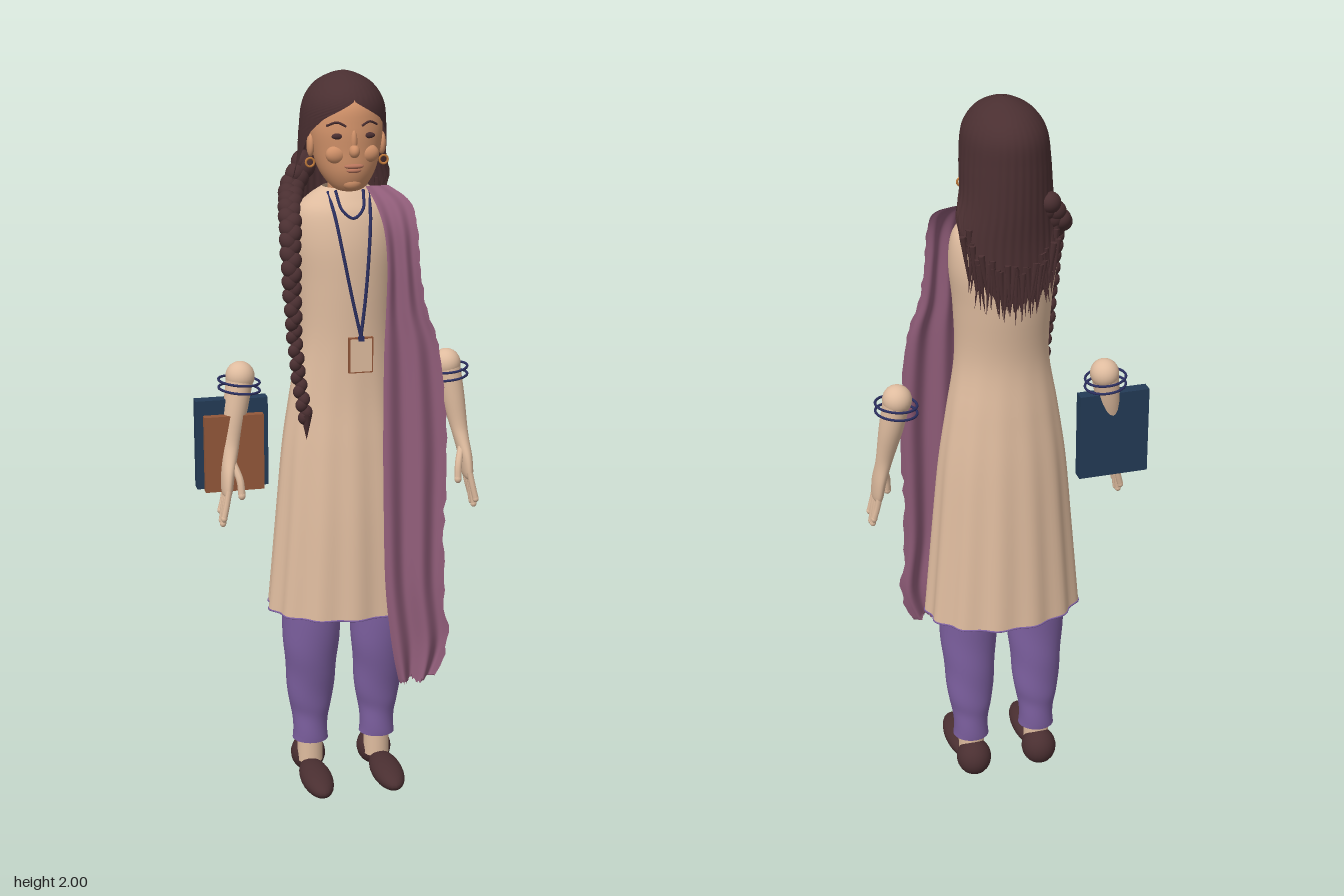
import * as THREE from 'three';

const mat = (name, color, side = THREE.FrontSide) => {
  const m = new THREE.MeshStandardMaterial({ color, side });
  m.name = name;
  return m;
};
const CX = 0.025; // the figure's own centre line

export function createModel() {
  const root = new THREE.Group();
  root.name = 'woman';
  const hair = mat('dark brown hair', 0x4a2f31, THREE.DoubleSide);
  const beige = mat('beige', 0xdfbc9f, THREE.DoubleSide);
  const skin = mat('face skin', 0xcf9068);
  const purple = mat('purple', 0x7d60a0, THREE.DoubleSide);
  const mauve = mat('mauve scarf', 0x8f5c78, THREE.DoubleSide);
  const indigo = mat('indigo trim', 0x2b2f60);
  const navy = mat('navy cover', 0x233b56);
  const brown = mat('brown cover', 0x93583a);
  const lip = mat('lips', 0xb8755c);
  const gold = mat('gold', 0xc07a3c);

  let seed = 7;
  const rnd = () => (seed = (seed * 16807) % 2147483647) / 2147483647;

  const add = (name, geo, m, parent = root) => {
    const mesh = new THREE.Mesh(geo, m);
    mesh.name = name;
    parent.add(mesh);
    return mesh;
  };
  const ball = (name, m, p, s, parent) => {
    const b = add(name, new THREE.SphereGeometry(1, 24, 16), m, parent);
    b.position.set(...p);
    b.scale.set(...s);
    return b;
  };
  const tube = (name, m, pts, r, n = 24, closed = false, parent = root) => add(name, new THREE.TubeGeometry(
    new THREE.CatmullRomCurve3(pts.map(p => new THREE.Vector3(...p)), closed), n, r, 8, closed), m, parent);
  const box = (name, m, p, s) => add(name, new THREE.BoxGeometry(...s), m).position.set(...p);

  // Smooth interpolation through a list of rows
  const sample = (rows, t) => {
    const f = t * (rows.length - 1), i = Math.min(Math.floor(f), rows.length - 2), k = f - i;
    const at = j => rows[Math.max(0, Math.min(rows.length - 1, j))];
    return rows[i].map((b, c) => {
      const a = at(i - 1)[c], d = at(i + 1)[c], e = at(i + 2)[c];
      return b + 0.5 * k * (d - a + k * (2 * a - 5 * b + 4 * d - e + k * (3 * (b - d) + e - a)));
    });
  };
  // Surface from a rule f(u, v) -> [x, y, z]
  const surface = (f, nu, nv, closed) => {
    const pos = [], idx = [], w = closed ? nu : nu + 1;
    for (let j = 0; j <= nv; j++) for (let i = 0; i < w; i++) pos.push(...f(i / nu, j / nv, i));
    for (let j = 0; j < nv; j++) for (let i = 0; i < nu; i++) {
      const a = j * w + i, b = j * w + (i + 1) % w;
      idx.push(a, b, b + w, a, b + w, a + w);
    }
    const g = new THREE.BufferGeometry();
    g.setAttribute('position', new THREE.Float32BufferAttribute(pos, 3));
    g.setIndex(idx);
    g.computeVertexNormals();
    return g;
  };
  // Loft of ellipses, rows bottom to top: [y, cx, cz, rx, rz]
  const ring = (rows, v, a, k = 1) => {
    const [y, cx, cz, rx, rz] = sample(rows, v);
    return [cx + Math.sin(a) * rx * k, y, cz + Math.cos(a) * rz * k];
  };
  const loft = (rows, nu = 24, nv = 24, ripple = () => 1) => surface((u, v) => {
    const a = u * Math.PI * 2;
    return ring(rows, v, a, ripple(a, v));
  }, nu, nv, true);

  // Long tunic with pleats that deepen toward the hem
  const tunicRows = [
    [0.535, CX, -0.035, 0.213, 0.152], [0.8, CX, -0.035, 0.19, 0.142], [1.0, CX, -0.037, 0.172, 0.128],
    [1.15, CX, -0.037, 0.15, 0.113], [1.3, CX, -0.033, 0.126, 0.103], [1.45, CX, -0.04, 0.13, 0.112],
    [1.56, CX, -0.045, 0.141, 0.115], [1.64, CX, -0.043, 0.132, 0.098], [1.68, CX, -0.038, 0.098, 0.07],
    [1.705, CX, -0.035, 0.06, 0.048]];
  const pleat = (a, v) => 1 + 0.03 * Math.max(0, 1 - v * 2.2) * Math.cos(a * 13);
  add('tunic', loft(tunicRows, 96, 48, pleat), beige);
  tube('hemTrim', purple, Array.from({ length: 78 }, (_, i) => {
    const a = i / 78 * Math.PI * 2;
    return ring(tunicRows, 0, a, pleat(a, 0));
  }), 0.0025, 156, true);
  tube('neckline', indigo, [[-0.012, 1.70, 0.015], [-0.002, 1.655, 0.052], [CX, 1.635, 0.062],
    [0.052, 1.655, 0.052], [0.062, 1.70, 0.015]], 0.004);

  // Legs, ankles and shoes
  for (const s of [1, -1]) {
    const x = CX + s * 0.097, leg = new THREE.Group();
    leg.name = s > 0 ? 'leftLeg' : 'rightLeg';
    root.add(leg);
    add('trouserLeg', loft([[0.12, x, -0.047, 0.05, 0.047], [0.19, x, -0.047, 0.05, 0.05],
      [0.25, x, -0.045, 0.063, 0.056], [0.34, x, -0.038, 0.07, 0.066], [0.44, x, -0.03, 0.079, 0.076],
      [0.56, x, -0.03, 0.082, 0.082], [0.75, x, -0.03, 0.085, 0.085]], 32, 40,
    (a, v) => 1 + 0.025 * Math.sin(v * 26 + a * 2) * (1 - v)), purple, leg);
    add('ankle', new THREE.CylinderGeometry(0.036, 0.036, 0.1, 20), beige, leg).position.set(x, 0.1, -0.05);
    ball('shoeHeel', hair, [x, 0.056, -0.078], [0.049, 0.053, 0.052], leg);
    ball('shoeToe', hair, [x + s * 0.005, 0.04, 0.055], [0.044, 0.033, 0.11], leg);
  }

  // Forearms, hands and bangles
  for (const s of [1, -1]) {
    const X = d => CX + s * d, arm = new THREE.Group();
    arm.name = s > 0 ? 'leftArm' : 'rightArm';
    root.add(arm);
    ball('elbow', beige, [X(0.285), 1.203, -0.04], [0.039, 0.04, 0.041], arm);
    add('forearm', loft([[0.885, X(0.336), 0.014, 0.005, 0.02], [0.9, X(0.335), 0.012, 0.014, 0.036],
      [0.95, X(0.33), 0.004, 0.018, 0.038], [1.0, X(0.321), -0.008, 0.021, 0.029],
      [1.04, X(0.314), -0.017, 0.025, 0.027], [1.12, X(0.3), -0.03, 0.033, 0.036],
      [1.205, X(0.285), -0.04, 0.037, 0.039]]), beige, arm);
    for (let i = 0; i < 4; i++) {
      const z = -0.016 + i * 0.019, tip = [0.84, 0.818, 0.815, 0.835][i];
      tube('finger', beige, [[X(0.334), 0.91, z], [X(0.342), 0.87, z + 0.004], [X(0.35), tip, z + 0.007]], 0.0085, 10, false, arm);
      ball('fingertip', beige, [X(0.35), tip, z + 0.007], [0.0085, 0.01, 0.0085], arm);
    }
    tube('thumb', beige, [[X(0.318), 0.98, 0.01], [X(0.303), 0.935, 0.035], [X(0.3), 0.895, 0.043]], 0.01, 10, false, arm);
    ball('thumbTip', beige, [X(0.3), 0.895, 0.043], [0.01, 0.012, 0.01], arm);
    for (const y of [1.168, 1.19]) {
      const b = add('bangle', new THREE.TorusGeometry(0.055, 0.0035, 8, 40), indigo, arm);
      b.position.set(X(0.288), y, -0.04);
      b.rotation.set(Math.PI / 2, s * 0.1, 0);
    }
  }

  // Books held in the right hand
  box('navyBook', navy, [-0.287, 1.022, -0.038], [0.195, 0.246, 0.034]);
  box('brownBook', brown, [-0.285, 1.0, -0.01], [0.16, 0.21, 0.022]);

  // Neck, head and face
  add('neck', new THREE.CylinderGeometry(0.042, 0.048, 0.12, 24), skin).position.set(CX, 1.72, -0.035);
  add('head', loft([[1.698, CX, 0.01, 0.004, 0.006], [1.707, CX, 0.005, 0.04, 0.042], [1.75, CX, -0.015, 0.073, 0.082],
    [1.81, CX, -0.025, 0.09, 0.093], [1.87, CX, -0.03, 0.096, 0.096], [1.93, CX, -0.04, 0.08, 0.088],
    [1.97, CX, -0.05, 0.02, 0.02]], 40, 30), skin);
  ball('nose', skin, [CX, 1.81, 0.07], [0.014, 0.017, 0.018]);
  ball('noseBridge', skin, [CX, 1.835, 0.063], [0.009, 0.03, 0.012]);
  ball('upperLip', lip, [CX, 1.771, 0.065], [0.026, 0.007, 0.01]);
  ball('lowerLip', lip, [CX, 1.76, 0.063], [0.02, 0.007, 0.01]);
  ball('chin', skin, [CX, 1.725, 0.042], [0.027, 0.02, 0.02]);
  for (const s of [1, -1]) {
    const X = d => CX + s * d;
    ball('eye', hair, [X(0.04), 1.848, 0.057], [0.017, 0.008, 0.007]);
    tube('eyebrow', hair, [[X(0.02), 1.873, 0.064], [X(0.042), 1.883, 0.057], [X(0.066), 1.873, 0.04]], 0.003, 12);
    ball('cheek', skin, [X(0.042), 1.8, 0.046], [0.028, 0.024, 0.02]);
    ball('ear', skin, [X(0.095), 1.815, -0.02], [0.01, 0.03, 0.018]);
    add('earring', new THREE.TorusGeometry(0.011, 0.003, 8, 20), gold).position.set(X(0.098), 1.772, -0.012);
  }

  // Loose hair: a shell open at the face, longer and ragged at the back
  const hairRows = [[1.47, 0.03, -0.145, 0.11, 0.055], [1.55, 0.033, -0.125, 0.13, 0.078], [1.65, 0.033, -0.102, 0.13, 0.1],
    [1.75, 0.029, -0.09, 0.118, 0.115], [1.85, 0.027, -0.072, 0.113, 0.132], [1.92, 0.027, -0.065, 0.104, 0.132],
    [1.965, 0.027, -0.062, 0.076, 0.1], [1.99, 0.027, -0.06, 0.036, 0.048], [2.0, 0.027, -0.06, 0.001, 0.001]];
  const opening = [[1.47, 1.95], [1.6, 1.7], [1.7, 1.5], [1.8, 1.3], [1.85, 1.08], [1.89, 0.72], [1.935, 0.0], [2.01, 0.0]];
  const gap = y => {
    const i = Math.max(1, opening.findIndex(o => o[0] > y)), [y0, a0] = opening[i - 1], [y1, a1] = opening[i];
    return THREE.MathUtils.lerp(a0, a1, THREE.MathUtils.clamp((y - y0) / (y1 - y0), 0, 1));
  };
  const jag = Array.from({ length: 121 }, rnd);
  add('hair', surface((u, v, i) => {
    const g = gap(sample(hairRows, v)[0]), a = g + u * (Math.PI * 2 - 2 * g);
    const p = ring(hairRows, v, a, 1 + 0.01 * Math.sin(a * 36) * (1 - v));
    const low = Math.max(0, 1.8 - p[1]) / 0.33, side = Math.abs(u - 0.5) * 2;
    p[1] += low * (0.15 * side * side + 0.05 * jag[i] * low);
    return p;
  }, 120, 64, false), hair);
  for (let i = 0; i < 36; i++) {
    const a = Math.PI + (i / 35 - 0.5) * 2.6, side = Math.abs(i / 35 - 0.5) * 2;
    const [x, , z] = ring(hairRows, 0.08, a, 0.93 + 0.07 * rnd());
    const strand = add('hairStrand', new THREE.ConeGeometry(0.009, 0.14, 6), hair);
    strand.position.set(x, 1.51 + 0.1 * side * side + 0.03 * rnd(), z);
    strand.rotation.set(Math.PI, 0, (rnd() - 0.5) * 0.3);
  }

  // Plait over the right shoulder
  const plait = new THREE.CatmullRomCurve3([[-0.055, 1.75, -0.16], [-0.095, 1.69, -0.13], [-0.118, 1.655, -0.05],
    [-0.135, 1.59, 0.03], [-0.14, 1.45, 0.072], [-0.135, 1.3, 0.085], [-0.122, 1.17, 0.1], [-0.113, 1.12, 0.108]]
    .map(p => new THREE.Vector3(...p)));
  const up = new THREE.Vector3(0, 1, 0), n = 42;
  for (let i = 0; i <= n; i++) {
    const p = plait.getPointAt(i / n), r = 0.028 - 0.012 * Math.min(1, i / n * 1.3), s = i % 2 ? 1 : -1;
    const b = ball('plaitKnot', hair, [p.x + s * r * 0.3, p.y, p.z + 0.004 * Math.sin(i)], [r, r * 1.2, r]);
    b.quaternion.setFromUnitVectors(up, plait.getTangentAt(i / n));
    b.rotateZ(s * 0.5);
  }
  const tuft = add('plaitEnd', new THREE.ConeGeometry(0.015, 0.07, 10), hair);
  tuft.position.set(-0.112, 1.095, 0.109);
  tuft.rotation.x = Math.PI;

  // Scarf hanging from the left shoulder, rows bottom to top: [y, left edge, right edge, z]
  const scarfRows = [[0.37, 0.125, 0.215, 0.19], [0.48, 0.105, 0.255, 0.183], [0.65, 0.088, 0.245, 0.172],
    [0.85, 0.085, 0.25, 0.158], [1.05, 0.085, 0.255, 0.145], [1.28, 0.09, 0.24, 0.128], [1.4, 0.098, 0.205, 0.115],
    [1.52, 0.103, 0.19, 0.105], [1.61, 0.098, 0.187, 0.088], [1.67, 0.085, 0.178, 0.05], [1.705, 0.072, 0.135, -0.005]];
  add('scarf', surface((u, v) => {
    const [y, x0, x1, z] = sample(scarfRows, v), edge = u > 0.99 ? 0.014 * rnd() * (1 - v) : 0;
    return [x0 + (x1 - x0) * u + edge, y + (v === 0 ? 0.02 * rnd() : 0),
      z + 0.017 * (1 - v * 0.8) * Math.sin(u * 12 + v * 1.5)];
  }, 40, 70, false), mauve);

  // Lanyard and badge
  for (const s of [1, -1]) {
    tube('lanyard', indigo, [[CX + s * 0.054, 1.695, 0.0], [CX + s * 0.047, 1.64, 0.054], [CX + 0.003 + s * 0.035, 1.55, 0.078],
      [CX + 0.01 + s * 0.018, 1.43, 0.082], [0.04, 1.325, 0.085]], 0.0045);
  }
  box('badgeFrame', brown, [0.04, 1.275, 0.083], [0.066, 0.096, 0.008]);
  box('badgeCard', beige, [0.04, 1.275, 0.086], [0.058, 0.088, 0.008]);
  box('badgeClip', indigo, [0.04, 1.32, 0.088], [0.016, 0.012, 0.008]);
  return root;
}
